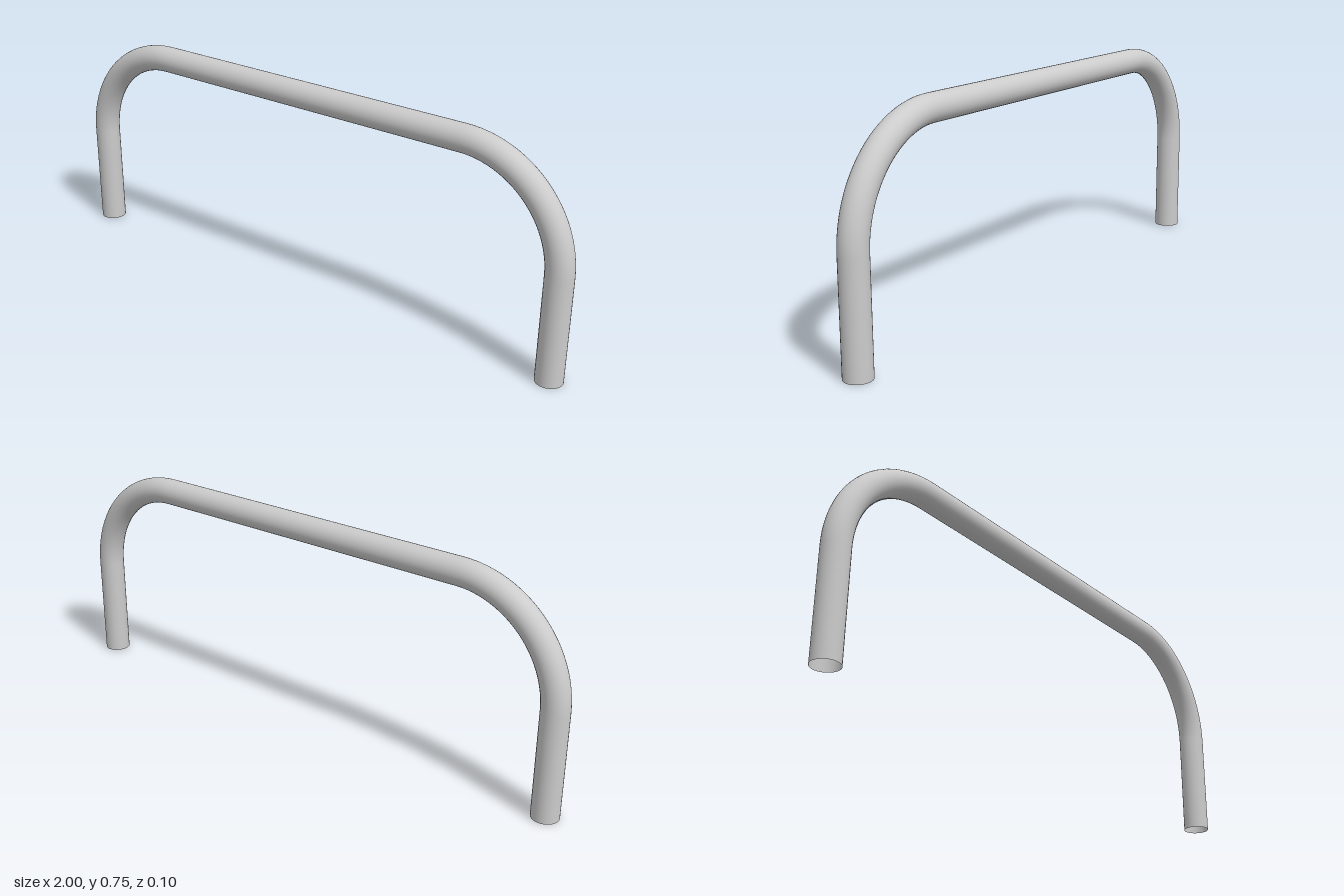
import * as THREE from 'three';

const R = 0.045;         // tube radius
const LEG_X = 0.955;     // leg centre line
const BAR_Y = 0.71;      // top bar centre line
const BEND = 0.35;       // bend radius of the centre line
const SIDES = 32;

export function createModel() {
  const group = new THREE.Group();
  group.name = 'tubularRail';
  const material = new THREE.MeshStandardMaterial({ color: 0xcccccc, side: THREE.DoubleSide });

  const add = (name, geometry, x, y) => {
    const mesh = new THREE.Mesh(geometry, material);
    mesh.name = name;
    mesh.position.set(x, y, 0);
    group.add(mesh);
    return mesh;
  };
  const pipe = (length) => new THREE.CylinderGeometry(R, R, length, SIDES, 1, true);

  // straight top bar
  const barHalf = LEG_X - BEND;
  add('topBar', pipe(2 * barHalf).rotateZ(Math.PI / 2), 0, BAR_Y);

  // quarter bends and open-ended legs
  const legHeight = BAR_Y - BEND;
  for (const [side, s] of [['left', 1], ['right', -1]]) {
    const bend = new THREE.TorusGeometry(BEND, R, SIDES, 24, Math.PI / 2);
    if (s < 0) bend.rotateZ(Math.PI / 2);
    add(side + 'Bend', bend, s * barHalf, legHeight);
    add(side + 'Leg', pipe(legHeight), s * LEG_X, legHeight / 2);
  }

  // the rail stands very slightly turned
  group.rotation.y = -0.005;
  return group;
}
